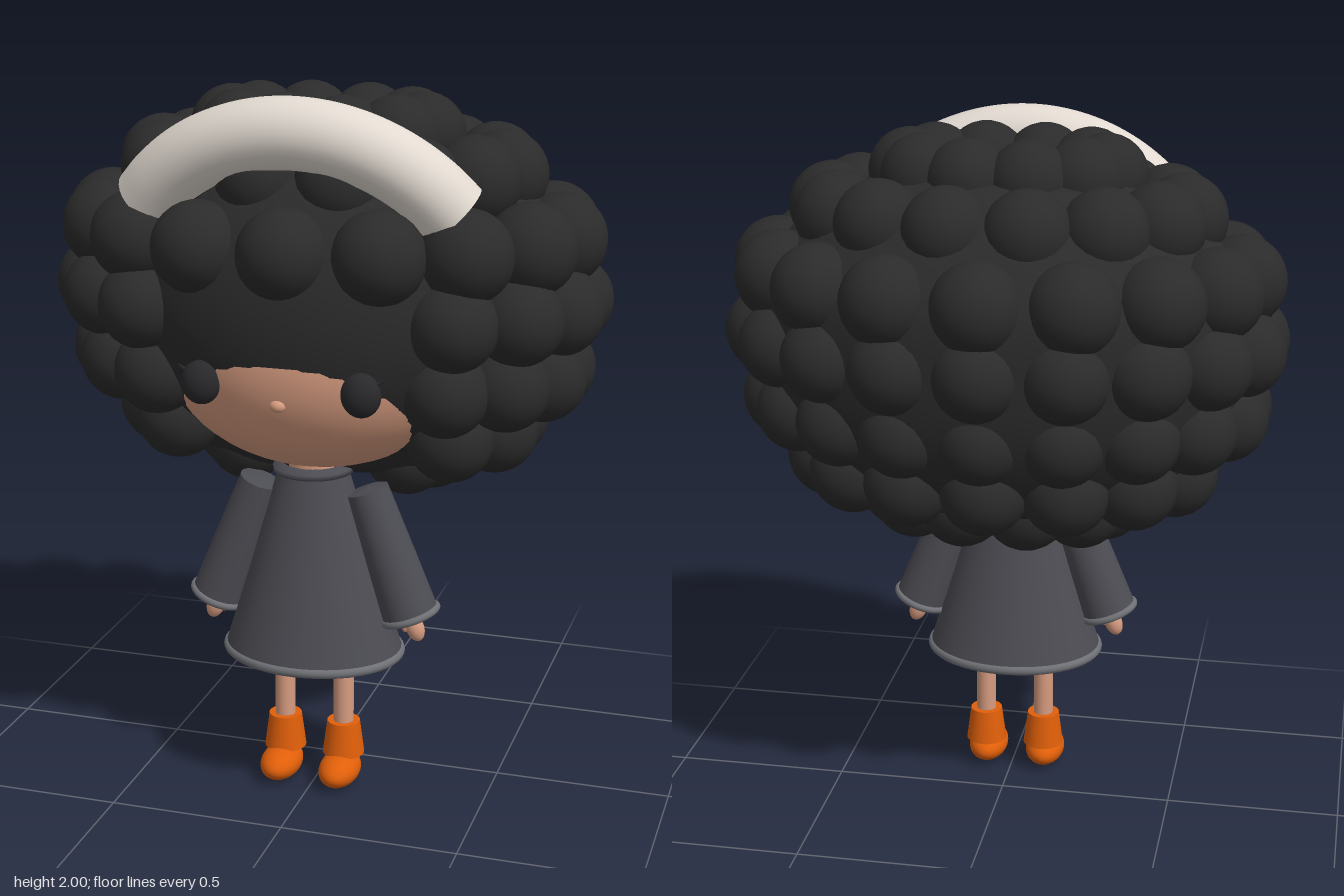
import * as THREE from 'three';

const mat = (name, color, side = THREE.FrontSide) => {
  const m = new THREE.MeshStandardMaterial({ color, side });
  m.name = name;
  return m;
};

export function createModel() {
  const hair = mat('black hair', 0x2b2b2b);
  const skin = mat('warm skin', 0xd79c80);
  const cloth = mat('charcoal cloth', 0x4c4c53, THREE.DoubleSide);
  const trim = mat('grey trim', 0x6e7075);
  const boot = mat('orange boots', 0xe05f0a);
  const cream = mat('cream band', 0xe2dad1, THREE.DoubleSide);
  const eyeMat = mat('eye black', 0x29292c);

  const root = new THREE.Group();
  root.name = 'doll';
  const doll = new THREE.Group();
  doll.name = 'figure';
  doll.position.x = -0.01;
  root.add(doll);

  const add = (parent, name, geo, material, x = 0, y = 0, z = 0) => {
    const m = new THREE.Mesh(geo, material);
    m.name = name;
    m.position.set(x, y, z);
    parent.add(m);
    return m;
  };
  const ball = new THREE.SphereGeometry(1, 48, 32);
  const blob = (parent, name, material, [x, y, z], [rx, ry, rz]) => {
    const m = add(parent, name, ball, material, x, y, z);
    m.scale.set(rx, ry, rz);
    return m;
  };
  const lathe = (pts) => new THREE.LatheGeometry(pts.map(p => new THREE.Vector2(...p)), 48);
  const ring = (r, tube) => new THREE.TorusGeometry(r, tube, 12, 48).rotateX(Math.PI / 2);

  // Head and face
  blob(doll, 'head', skin, [0, 1.3, 0.1], [0.45, 0.35, 0.385]);
  blob(doll, 'nose', skin, [0, 1.21, 0.468], [0.022, 0.018, 0.018]);
  for (const s of [-1, 1]) {
    blob(doll, 'eye', eyeMat, [s * 0.22, 1.252, 0.448], [0.054, 0.06, 0.042]);
    const lash = add(doll, 'eyelash', new THREE.ConeGeometry(0.009, 0.05, 8), eyeMat, s * 0.268, 1.286, 0.447);
    lash.rotation.z = -s * 1.0;
  }
  add(doll, 'neck', new THREE.CylinderGeometry(0.07, 0.07, 0.14, 24), skin, 0, 0.93, 0.155);

  // Hair: a fringe cap and a full mass behind it, covered by rings of round curls
  const hairGroup = new THREE.Group();
  hairGroup.name = 'hair';
  doll.add(hairGroup);
  blob(hairGroup, 'fringeCap', hair, [0, 1.42, 0.05], [0.56, 0.48, 0.445]);
  const outline = [[0, 0.93], [0.33, 0.935], [0.54, 1.06], [0.67, 1.23], [0.71, 1.42],
    [0.69, 1.6], [0.52, 1.77], [0.3, 1.87], [0, 1.87]];
  const mass = lathe(new THREE.SplineCurve(outline.map(p => new THREE.Vector2(...p)))
    .getPoints(40).map(p => [Math.max(p.x, 0), p.y]));
  // shallower at the front, so that the face stays clear
  const pos = mass.attributes.position;
  for (let i = 0; i < pos.count; i++) {
    const z = pos.getZ(i);
    pos.setZ(i, z * (z < 0 ? 0.68 : 0.45));
  }
  mass.computeVertexNormals();
  add(hairGroup, 'hairMass', mass, hair);

  const curl = new THREE.SphereGeometry(1, 24, 16);
  // height, half width, half depth, centre z, count, half-step offset, curl radius, open angle at the face
  const rows = [
    [0.975, 0.29, 0.13, -0.05, 10, 0.5, 0.122, 30],
    [1.07, 0.5, 0.305, -0.02, 14, 0, 0.122, 50],
    [1.23, 0.63, 0.38, 0, 18, 0, 0.12, 35],
    [1.42, 0.67, 0.425, 0, 18, 0, 0.122, 35],
    [1.6, 0.645, 0.415, 0, 16, 0, 0.126, 0],
    [1.765, 0.485, 0.28, 0, 14, 0.5, 0.122, 0],
    [1.865, 0.27, 0.135, 0.03, 10, 0.5, 0.117, 0],
  ];
  for (const [y, rx, rz, cz, n, off, r, open] of rows) {
    for (let i = 0; i < n; i++) {
      const a = ((i + off) / n) * Math.PI * 2;   // zero at the back
      if (Math.abs(a - Math.PI) < THREE.MathUtils.degToRad(open)) continue;
      const m = add(hairGroup, 'curl', curl, hair, Math.sin(a) * rx, y, cz - Math.cos(a) * rz);
      m.scale.setScalar(r);
    }
  }

  // Headband: an arched tube that bends back at both ends
  const arc = [];
  const R = 0.54;
  for (let i = -6; i <= 6; i++) {
    const a = (i / 6) * 0.89;
    arc.push(new THREE.Vector3(Math.sin(a) * R, 1.905 - R * (1 - Math.cos(a)), 0.347 - 0.065 * (i / 6) ** 2));
  }
  add(doll, 'headband', new THREE.TubeGeometry(new THREE.CatmullRomCurve3(arc), 64, 0.095, 28), cream);

  // Dress: an open oval cone with a hem and a collar
  const dress = new THREE.Group();
  dress.name = 'dress';
  dress.position.z = 0.157;
  dress.scale.z = 0.82;
  doll.add(dress);
  add(dress, 'skirt', lathe([[0.258, 0.405], [0.18, 0.66], [0.1, 0.945]]), cloth);
  add(dress, 'hem', ring(0.249, 0.014), trim, 0, 0.41, 0);
  add(doll, 'collar', lathe([[0.095, 0.935], [0.113, 0.94], [0.113, 0.955], [0.085, 0.965]]), cloth, 0, 0, 0.157);

  for (const s of [-1, 1]) {
    // Sleeve, flared and open at the cuff, with the hand below
    const arm = new THREE.Group();
    arm.name = s > 0 ? 'leftArm' : 'rightArm';
    arm.position.set(s * 0.155, 0.895, 0.157);
    arm.rotation.z = s * 0.345;
    doll.add(arm);
    add(arm, 'sleeve', lathe([[0.08, -0.38], [0.071, -0.2], [0.06, 0], [0.06, 0], [0, 0.008]]), cloth);
    add(arm, 'cuff', ring(0.077, 0.011), trim, 0, -0.38, 0);
    add(arm, 'wrist', new THREE.CylinderGeometry(0.022, 0.022, 0.1, 16), skin, 0, -0.35, 0);
    blob(arm, 'hand', skin, [0, -0.42, 0], [0.026, 0.042, 0.023]);
    blob(arm, 'thumb', skin, [-s * 0.024, -0.405, 0.006], [0.01, 0.022, 0.01]).rotation.z = -s * 0.3;

    // Leg and boot
    const leg = new THREE.Group();
    leg.name = s > 0 ? 'leftLeg' : 'rightLeg';
    leg.position.set(s * 0.088, 0, 0.155);
    doll.add(leg);
    add(leg, 'shin', new THREE.CylinderGeometry(0.029, 0.029, 0.32, 24), skin, 0, 0.3, 0);
    add(leg, 'bootShaft', new THREE.CylinderGeometry(0.047, 0.06, 0.1, 32), boot, 0, 0.137, 0);
    blob(leg, 'bootFoot', boot, [0, 0.05, 0.038], [0.058, 0.047, 0.093]);
  }
  return root;
}
